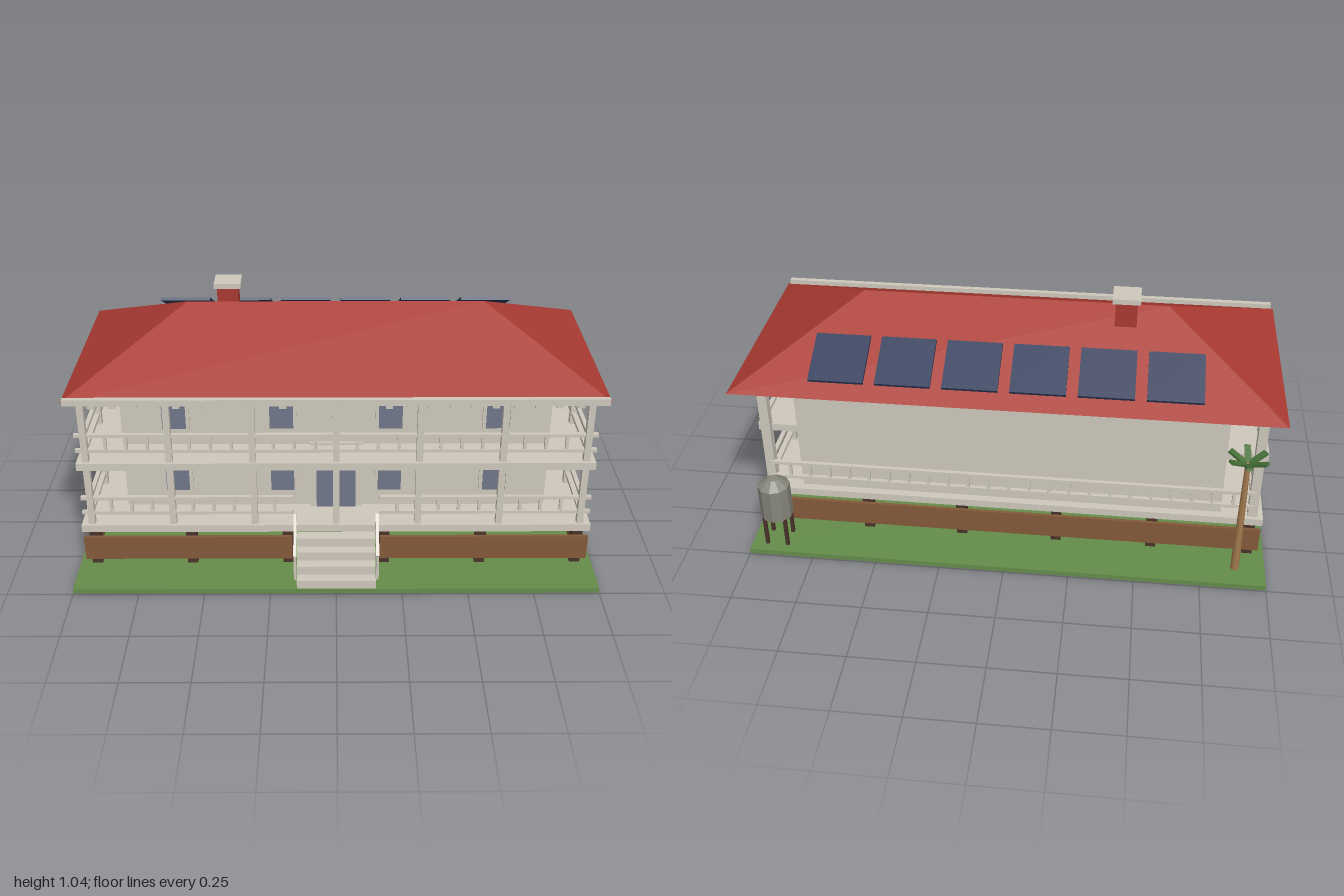
import * as THREE from 'three';

const mat = (name, color) => Object.assign(new THREE.MeshStandardMaterial({ color }), { name });

export function createModel() {
  const M = {
    cream: mat('cream paint', 0xcfc9bc),
    roof: mat('red roof', 0xa93a32),
    glass: mat('window glass', 0x707789),
    panel: mat('solar navy', 0x2f3a5a),
    grass: mat('grass', 0x658d4a),
    skirt: mat('brown boards', 0x845a3a),
    pier: mat('dark timber', 0x4a332b),
    trunk: mat('palm trunk', 0xa47c4f),
    leaf: mat('palm leaf', 0x467038),
    tank: mat('tank metal', 0x87867b),
  };
  const root = new THREE.Group();
  root.name = 'galleryHouse';
  const group = (name) => {
    const g = new THREE.Group();
    g.name = name;
    root.add(g);
    return g;
  };
  const add = (parent, name, geo, m, x = 0, y = 0, z = 0) => {
    const mesh = new THREE.Mesh(geo, m);
    mesh.name = name;
    mesh.position.set(x, y, z);
    parent.add(mesh);
    return mesh;
  };
  // box given by its min and max on each axis
  const box = (parent, name, m, x0, x1, y0, y1, z0, z1) =>
    add(parent, name, new THREE.BoxGeometry(x1 - x0, y1 - y0, z1 - z0), m,
      (x0 + x1) / 2, (y0 + y1) / 2, (z0 + z1) / 2);

  // ground and raised base
  const base = group('base');
  box(base, 'lawn', M.grass, -1, 1, 0, 0.02, -0.495, 0.495);
  for (let i = 0; i < 6; i++) {
    const x = -0.935 + i * 0.374;
    for (const z of [0.3, -0.29]) box(base, 'pier', M.pier, x - 0.02, x + 0.02, 0.02, 0.17, z - 0.02, z + 0.02);
  }
  for (const s of [-1, 1]) {
    add(base, 'frontSkirt', new THREE.BoxGeometry(0.805, 0.1, 0.014), M.skirt, s * 0.5725, 0.097, 0.326);
    add(base, 'sideSkirt', new THREE.BoxGeometry(0.014, 0.1, 0.636), M.skirt, s * 0.94, 0.097, 0.004);
  }
  box(base, 'backSkirt', M.skirt, -0.975, 0.975, 0.047, 0.147, -0.322, -0.309);

  // walls and decks
  const house = group('house');
  box(house, 'walls', M.cream, -0.82, 0.82, 0.2, 0.746, -0.29, 0.18);
  box(house, 'lowerDeck', M.cream, -0.98, 0.98, 0.17, 0.2, -0.322, 0.33);
  box(house, 'upperDeck', M.cream, -0.975, 0.975, 0.445, 0.475, -0.28, 0.33);

  // windows: a thin frame with a glass plate, facing +z until turned
  const addWindow = (x, y, z, turn) => {
    const w = new THREE.Group();
    w.name = 'window';
    add(w, 'frame', new THREE.BoxGeometry(0.118, 0.2, 0.016), M.cream);
    add(w, 'glass', new THREE.BoxGeometry(0.09, 0.172, 0.006), M.glass, 0, 0, 0.008);
    w.position.set(x, y, z);
    w.rotation.y = turn;
    house.add(w);
  };
  for (const y of [0.361, 0.635]) {
    for (const x of [-0.617, -0.208, 0.208, 0.617]) addWindow(x, y, 0.182, 0);
    for (const s of [-1, 1]) addWindow(s * 0.822, y, -0.05, s * Math.PI / 2);
  }

  // double front door
  box(house, 'doorFrame', M.cream, -0.1, 0.1, 0.2, 0.485, 0.18, 0.192);
  for (const s of [-1, 1])
    add(house, 'doorLeaf', new THREE.BoxGeometry(0.064, 0.25, 0.006), M.glass, s * 0.044, 0.325, 0.193);

  // gallery posts
  const gallery = group('gallery');
  const px = (i) => -0.94 + i * 0.94 / 3;
  for (let i = 0; i < 7; i++)
    box(gallery, 'frontPost', M.cream, px(i) - 0.0125, px(i) + 0.0125, 0.2, 0.75, 0.295, 0.32);
  for (const s of [-1, 1]) {
    add(gallery, 'sidePost', new THREE.BoxGeometry(0.025, 0.55, 0.024), M.cream, s * 0.94, 0.475, 0.011);
    add(gallery, 'backPost', new THREE.BoxGeometry(0.036, 0.55, 0.036), M.cream, s * 0.94, 0.475, -0.288);
  }

  // railings: two rails, with balusters on the long runs
  const longRail = (x0, x1, y, z) => {
    for (const dy of [0, 0.064])
      box(gallery, 'rail', M.cream, x0, x1, y + dy, y + dy + 0.013, z - 0.008, z + 0.008);
    for (let i = 0; i <= 24; i++) {
      const x = -0.94 + i * 0.94 / 12;
      if (x > x0 && x < x1) box(gallery, 'baluster', M.cream, x - 0.006, x + 0.006, y + 0.01, y + 0.066, z - 0.006, z + 0.006);
    }
  };
  longRail(-0.975, -0.165, 0.241, 0.307);
  longRail(0.165, 0.975, 0.241, 0.307);
  longRail(-0.975, 0.975, 0.513, 0.307);
  longRail(-0.94, 0.94, 0.241, -0.304);
  for (const s of [-1, 1])
    for (const y of [0.247, 0.311, 0.519, 0.583])
      add(gallery, 'sideRail', new THREE.BoxGeometry(0.016, 0.013, 0.57), M.cream, s * 0.94, y, 0.015);

  // eave board and its row of brackets
  box(gallery, 'eaveBoard', M.cream, -0.99, 0.99, 0.74, 0.765, 0.352, 0.373);
  for (let i = 0; i < 24; i++) {
    const x = -0.9 + i * 1.8 / 23;
    box(gallery, 'bracket', M.cream, x - 0.013, x + 0.013, 0.7, 0.748, 0.298, 0.318);
  }

  // front steps with sloped handrails
  const stairs = group('stairs');
  [0.055, 0.092, 0.13, 0.166].forEach((top, i) => {
    const front = 0.492 - i * 0.04;
    box(stairs, 'step', M.cream, -0.15, 0.15, 0.02, top, 0.325, front);
  });
  for (const s of [-1, 1]) {
    for (const [z, y0, y1] of [[0.473, 0.05, 0.158], [0.413, 0.11, 0.212], [0.353, 0.16, 0.265]])
      add(stairs, 'stairPost', new THREE.BoxGeometry(0.01, y1 - y0, 0.01), M.cream, s * 0.156, (y0 + y1) / 2, z);
    const rail = add(stairs, 'handrail', new THREE.BoxGeometry(0.012, 0.012, 0.165), M.cream, s * 0.156, 0.21, 0.414);
    rail.rotation.x = Math.atan2(0.107, 0.12);
  }

  // hipped roof with a closed soffit
  const roof = group('roof');
  const A = [-1, 0.745, 0.355], B = [1, 0.745, 0.355], C = [1, 0.745, -0.49], D = [-1, 0.745, -0.49];
  const E = [-0.57, 0.965, -0.065], F = [0.57, 0.965, -0.065];
  const tris = [A, B, F, A, F, E, B, C, F, C, D, E, C, E, F, D, A, E, A, D, C, A, C, B];
  const roofGeo = new THREE.BufferGeometry();
  roofGeo.setAttribute('position', new THREE.Float32BufferAttribute(tris.flat(), 3));
  roofGeo.computeVertexNormals();
  add(roof, 'hippedRoof', roofGeo, M.roof);
  box(roof, 'chimney', M.roof, -0.455, -0.375, 0.88, 1.018, -0.155, -0.075);
  box(roof, 'chimneyCap', M.cream, -0.466, -0.364, 1.016, 1.036, -0.166, -0.064);

  // solar panels above the back slope
  for (let i = 0; i < 6; i++) {
    const p = add(roof, 'solarPanel', new THREE.BoxGeometry(0.2, 0.012, 0.2), M.panel, -0.605 + i * 0.242, 0.843, -0.362);
    p.rotation.x = -0.475;
  }

  // palm tree
  const palm = group('palm');
  palm.position.set(-0.885, 0, -0.4);
  add(palm, 'trunk', new THREE.CylinderGeometry(0.01, 0.017, 0.5, 7), M.trunk, 0, 0.27, 0);
  for (let i = 0; i < 6; i++) {
    const arm = new THREE.Group();
    arm.name = 'frond';
    const leaf = add(arm, 'leaf', new THREE.BoxGeometry(0.024, 0.01, 0.086), M.leaf, 0, 0.016, 0.037);
    leaf.rotation.x = -0.42;
    arm.position.y = 0.513;
    arm.rotation.y = i * Math.PI / 3;
    palm.add(arm);
  }

  // water tank on legs
  const tank = group('waterTank');
  tank.position.set(0.9, 0, -0.41);
  M.tank.flatShading = true;
  add(tank, 'barrel', new THREE.CylinderGeometry(0.062, 0.062, 0.14, 10), M.tank, 0, 0.212, 0);
  add(tank, 'lid', new THREE.CylinderGeometry(0.022, 0.062, 0.03, 10), M.tank, 0, 0.297, 0);
  for (const x of [-0.04, 0.04])
    for (const z of [-0.04, 0.04])
      add(tank, 'leg', new THREE.BoxGeometry(0.013, 0.125, 0.013), M.pier, x, 0.0825, z);

  return root;
}
